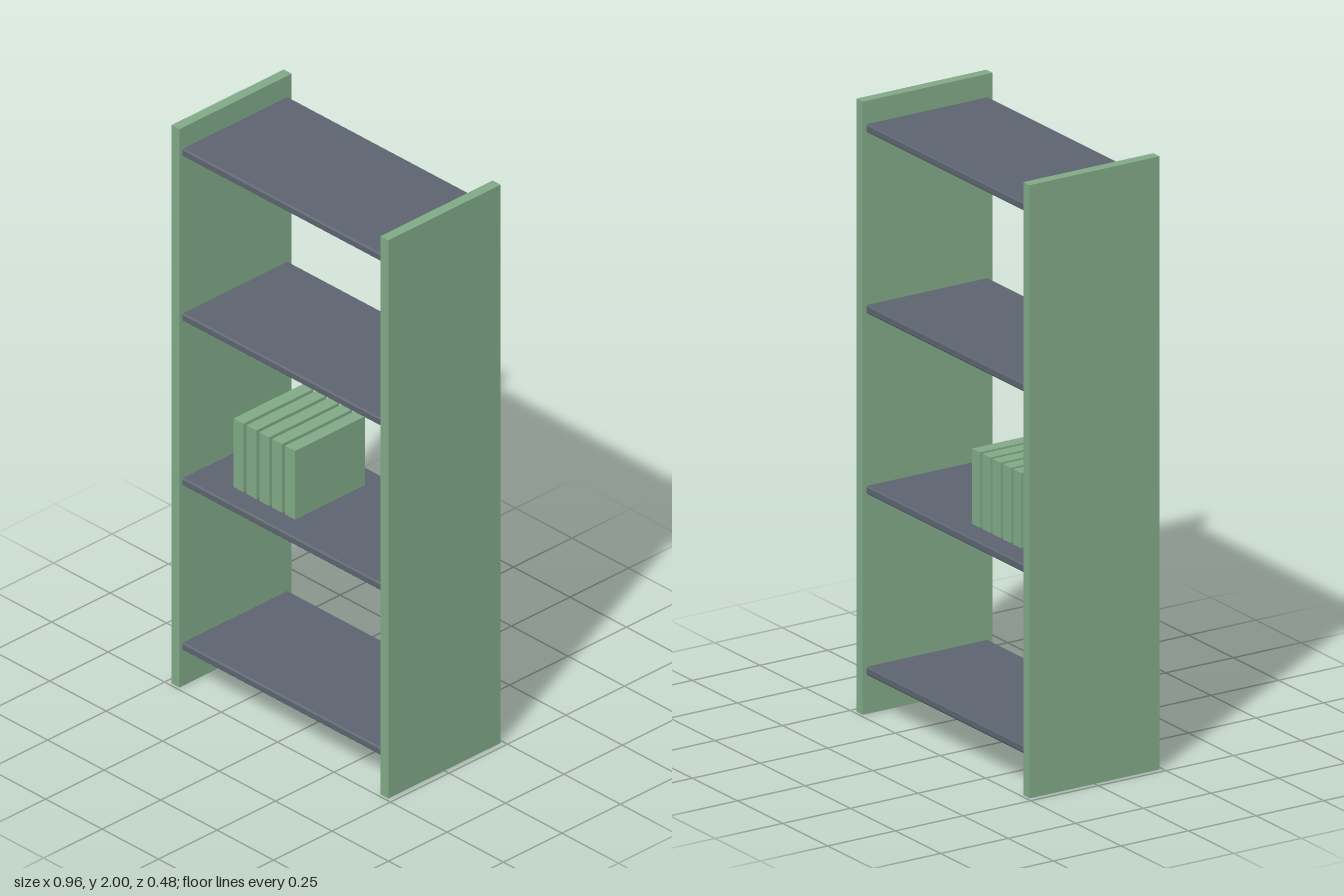
import * as THREE from 'three';

export function createModel() {
  const model = new THREE.Group();
  model.name = 'bookshelf';

  const green = new THREE.MeshStandardMaterial({ color: 0x80a987 });
  green.name = 'sage green';
  const slate = new THREE.MeshStandardMaterial({ color: 0x5c646f });
  slate.name = 'slate grey';

  const add = (name, geometry, material, x, y, z) => {
    const mesh = new THREE.Mesh(geometry, material);
    mesh.name = name;
    mesh.position.set(x, y, z);
    model.add(mesh);
  };

  // Upright side panels
  const panel = new THREE.BoxGeometry(0.035, 2, 0.48);
  add('leftPanel', panel, green, 0.4625, 1, 0);
  add('rightPanel', panel, green, -0.4625, 1, 0);

  // Shelf board: rectangle with finely chamfered long edges, run along x
  const halfDepth = 0.226, halfThick = 0.014, chamfer = 0.005, span = 0.89;
  const section = new THREE.Shape([
    [-halfDepth + chamfer, -halfThick], [halfDepth - chamfer, -halfThick],
    [halfDepth, -halfThick + chamfer], [halfDepth, halfThick - chamfer],
    [halfDepth - chamfer, halfThick], [-halfDepth + chamfer, halfThick],
    [-halfDepth, halfThick - chamfer], [-halfDepth, -halfThick + chamfer],
  ].map(([u, v]) => new THREE.Vector2(u, v)));
  const board = new THREE.ExtrudeGeometry(section, { depth: span, bevelEnabled: false });
  board.translate(0, 0, -span / 2).rotateY(Math.PI / 2);

  for (let i = 0; i < 4; i++) {
    add(`shelf${i + 1}`, board, slate, 0, 0.14 + i * 0.59, 0);
  }

  // Row of books standing on the second shelf
  const shelfTop = 0.73 + halfThick, bookHeight = 0.246;
  const book = new THREE.BoxGeometry(0.044, bookHeight, 0.3);
  for (let i = 0; i < 5; i++) {
    add(`book${i + 1}`, book, green, -0.276 + i * 0.057, shelfTop + bookHeight / 2, 0);
  }

  return model;
}
